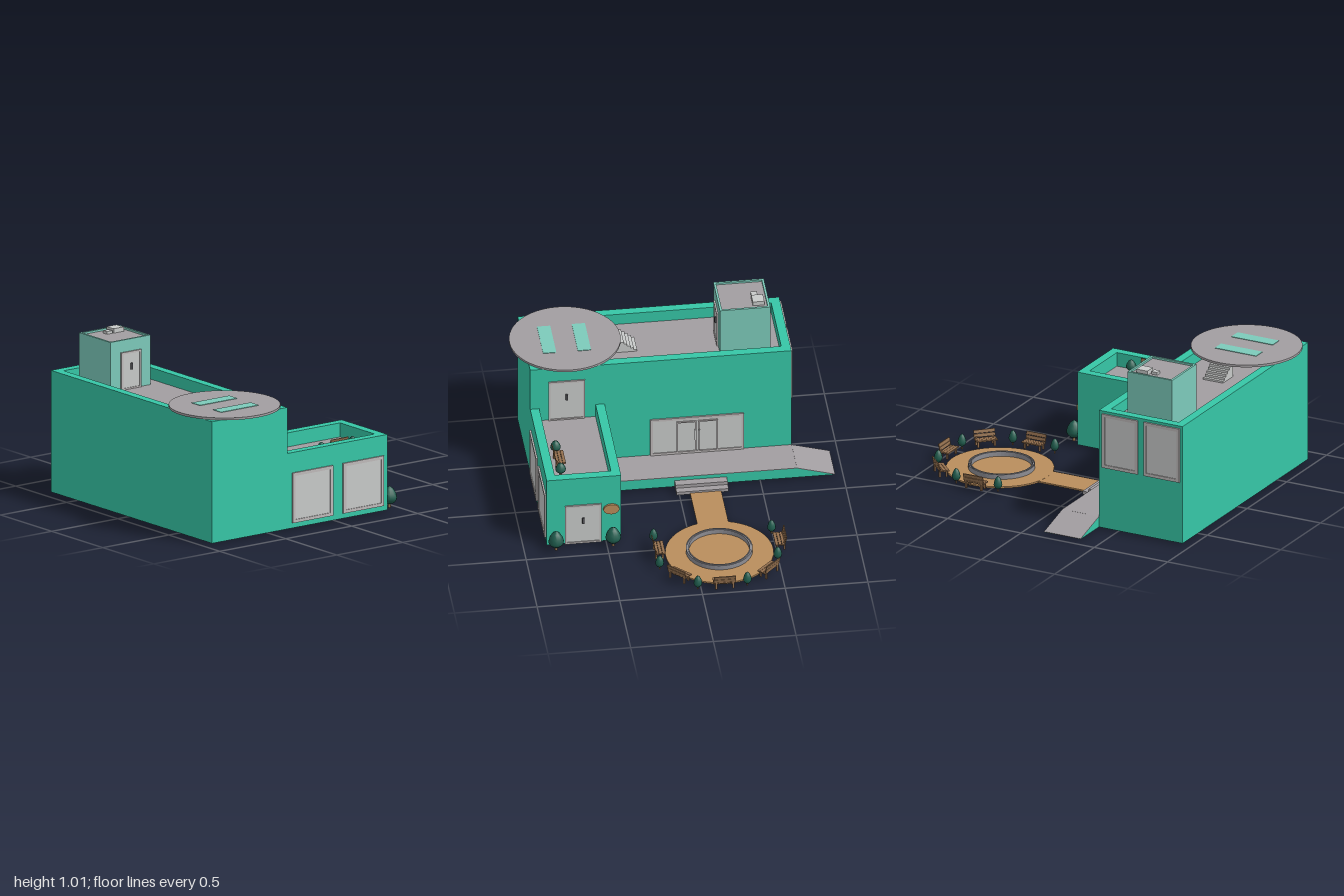
import * as THREE from 'three';

const mat = (name, color, extra = {}) => {
  const m = new THREE.MeshStandardMaterial({ color, ...extra });
  m.name = name;
  return m;
};

export function createModel() {
  const teal = mat('teal wall', 0x36c6a6);
  const paleTeal = mat('pale teal', 0x7ccaba);
  const paving = mat('grey paving', 0xa29ea1);
  const pane = mat('light grey panel', 0xc8cac9);
  const trim = mat('grey trim', 0xbfbaba);
  const stone = mat('fountain stone', 0x8d8d93);
  const tan = mat('tan ground', 0xb98d5c);
  const wood = mat('bench wood', 0x94704f);
  const leaf = mat('dark foliage', 0x1f5c4d);
  const dark = mat('dark metal', 0x55555a);

  const model = new THREE.Group();
  const add = (name, geo, m, parent = model) => {
    const mesh = new THREE.Mesh(geo, m);
    mesh.name = name;
    parent.add(mesh);
    return mesh;
  };
  // Box given by its limits on each axis
  const box = (name, m, x0, x1, y0, y1, z0, z1, parent = model) => {
    const b = add(name, new THREE.BoxGeometry(x1 - x0, y1 - y0, z1 - z0), m, parent);
    b.position.set((x0 + x1) / 2, (y0 + y1) / 2, (z0 + z1) / 2);
    return b;
  };
  const group = (name, x, y, z, rotY = 0, parent = model) => {
    const g = new THREE.Group();
    g.name = name;
    g.position.set(x, y, z);
    g.rotation.y = rotY;
    parent.add(g);
    return g;
  };
  const rect = (C, x0, x1, y0, y1) => {
    const s = new C();
    s.moveTo(x0, y0); s.lineTo(x1, y0); s.lineTo(x1, y1); s.lineTo(x0, y1); s.closePath();
    return s;
  };
  const frameGeo = (w, h, t, depth) => {
    const s = rect(THREE.Shape, -w / 2, w / 2, -h / 2, h / 2);
    s.holes.push(rect(THREE.Path, -w / 2 + t, w / 2 - t, -h / 2 + t, h / 2 - t));
    return new THREE.ExtrudeGeometry(s, { depth, bevelEnabled: false });
  };
  // Rectangular rim standing on a roof
  const rim = (name, m, x0, x1, y0, y1, z0, z1, t) => {
    const r = add(name, frameGeo(x1 - x0, z1 - z0, t, y1 - y0), m);
    r.rotation.x = -Math.PI / 2;
    r.position.set((x0 + x1) / 2, y0, (z0 + z1) / 2);
  };

  // Main block with recessed roof
  const roofY = 0.69;
  box('mainBlock', teal, -0.95, -0.38, 0.013, roofY, -0.72, 0.86);
  rim('mainParapet', teal, -0.95, -0.38, roofY, 0.765, -0.72, 0.86, 0.055);
  box('mainRoofFloor', paving, -0.895, -0.435, roofY, roofY + 0.003, -0.665, 0.805);

  // Lower front wing with terrace
  const terraceY = 0.39;
  box('frontWing', teal, -0.38, 0.38, 0.013, terraceY, 0.41, 0.86);
  box('terraceFloor', paving, -0.38, 0.325, terraceY, terraceY + 0.003, 0.465, 0.805);
  box('terraceFrontParapet', teal, -0.38, 0.38, terraceY, 0.48, 0.805, 0.86);
  box('terraceBackParapet', teal, -0.38, 0.38, terraceY, 0.48, 0.41, 0.465);
  box('terraceSideParapet', teal, 0.325, 0.38, terraceY, 0.48, 0.465, 0.805);

  // Rooftop hut
  box('roofHut', paleTeal, -0.82, -0.515, roofY, 0.985, -0.61, -0.305);
  rim('hutParapet', paleTeal, -0.82, -0.515, 0.985, 1.0, -0.61, -0.305, 0.014);
  box('hutRoofFloor', paving, -0.806, -0.529, 0.985, 0.988, -0.596, -0.319);
  box('largeVent', pane, -0.635, -0.56, 0.988, 1.015, -0.58, -0.51);
  box('smallVent', pane, -0.685, -0.645, 0.988, 1.005, -0.55, -0.512);

  // Landing pad with painted bars
  const pad = add('landingPad', new THREE.CylinderGeometry(0.335, 0.335, 0.014, 48), paving);
  pad.position.set(-0.665, 0.773, 0.613);
  for (const z of [0.513, 0.723]) box('padBar', paleTeal, -0.805, -0.522, 0.78, 0.783, z - 0.04, z + 0.04);
  // Steps from the roof up to the pad
  for (let i = 0; i < 5; i++) {
    box('padStep', pane, -0.735, -0.6, roofY, roofY + 0.015 * (i + 1), 0.185 + i * 0.02, 0.31);
  }

  // Raised walkway and ramp: teal sides, paved top
  box('walkway', teal, -0.38, -0.13, 0.013, 0.078, -0.72, 0.41);
  box('walkwayPaving', paving, -0.38, -0.13, 0.078, 0.081, -0.72, 0.41);
  const wedge = new THREE.Shape();
  wedge.moveTo(0.72, 0.013); wedge.lineTo(0.95, 0.013); wedge.lineTo(0.72, 0.078); wedge.closePath();
  const ramp = add('ramp', new THREE.ExtrudeGeometry(wedge, { depth: 0.25, bevelEnabled: false }), teal);
  ramp.rotation.y = Math.PI / 2;
  ramp.position.x = -0.38;
  const slope = Math.atan2(0.065, 0.23);
  const top = add('rampPaving', new THREE.BoxGeometry(0.25, 0.003, 0.239), paving);
  top.position.set(-0.255, 0.047, -0.835);
  top.rotation.x = -slope;
  box('upperStep', paving, -0.13, -0.08, 0.013, 0.056, -0.295, 0.02);
  box('lowerStep', paving, -0.08, -0.037, 0.013, 0.034, -0.295, 0.02);

  // Windows and doors, built facing +z then turned
  const opening = (name, w, h, x, y, z, rotY, t = 0.02) => {
    const g = group(name, x, y + h / 2, z, rotY);
    add('frame', frameGeo(w, h, t, 0.01), trim, g);
    box('panel', pane, -w / 2 + t, w / 2 - t, -h / 2 + t, h / 2 - t, 0, 0.005, g);
    return g;
  };
  const door = (name, w, h, x, y, z, rotY) => {
    const g = opening(name, w, h, x, y, z, rotY, 0.012);
    box('handle', dark, -0.006, 0.006, 0.005, 0.045, 0.005, 0.014, g);
  };
  for (const x of [-0.192, 0.192]) opening('frontWindow', 0.305, 0.31, x, 0.045, 0.86, 0);
  for (const x of [-0.81, -0.525]) opening('backWindow', 0.245, 0.345, x, 0.403, -0.72, Math.PI);
  door('wingDoor', 0.22, 0.275, 0.38, 0.013, 0.64, Math.PI / 2);
  door('terraceDoor', 0.22, 0.28, -0.38, terraceY, 0.64, Math.PI / 2);
  door('hutDoor', 0.15, 0.235, -0.667, roofY, -0.305, 0);
  const entrance = opening('entrance', 0.565, 0.26, -0.38, 0.081, -0.148, Math.PI / 2, 0.015);
  for (const s of [-1, 1]) {
    const leafDoor = add('entranceDoor', frameGeo(0.12, 0.225, 0.008, 0.009), trim, entrance);
    leafDoor.position.set(s * 0.065, -0.01, 0.004);
    box('entranceHandle', pane, s * 0.012 - 0.004, s * 0.012 + 0.004, -0.03, 0.04, 0.005, 0.018, entrance);
  }

  // Oval wall plaque
  const plaque = add('wallPlaque', new THREE.CylinderGeometry(0.035, 0.035, 0.014, 12), tan);
  plaque.rotation.z = -Math.PI / 2;
  plaque.scale.z = 1.4;
  plaque.position.set(0.386, 0.245, 0.47);

  // Round plaza, path and fountain ring
  const cx = 0.6, cz = -0.155;
  add('plaza', new THREE.CylinderGeometry(0.325, 0.325, 0.01, 48), tan).position.set(cx, 0.017, cz);
  box('path', tan, -0.037, 0.32, 0.012, 0.0215, -0.25, -0.062);
  add('fountainBase', new THREE.CylinderGeometry(0.2, 0.2, 0.012, 48), stone).position.set(cx - 0.01, 0.006, cz);
  const ring = [[0.182, 0.012], [0.2, 0.012], [0.2, 0.052], [0.194, 0.052], [0.194, 0.047],
    [0.188, 0.047], [0.188, 0.052], [0.182, 0.052], [0.182, 0.012]];
  const ringGeo = new THREE.LatheGeometry(ring.map(p => new THREE.Vector2(...p)), 48).toNonIndexed();
  ringGeo.computeVertexNormals();
  add('fountainRing', ringGeo, stone).position.set(cx - 0.01, 0, cz);

  // Benches, backrest on the local -z side
  const bench = (x, y, z, rotY) => {
    const g = group('bench', x, y, z, rotY);
    for (const sz of [-0.014, 0.006, 0.026]) box('seatSlat', wood, -0.067, 0.067, 0.038, 0.046, sz - 0.009, sz + 0.009, g);
    for (const [by, bz] of [[0.06, -0.025], [0.083, -0.03]]) {
      const b = box('backSlat', wood, -0.067, 0.067, by - 0.0105, by + 0.0105, bz - 0.003, bz + 0.003, g);
      b.rotation.x = -0.2;
    }
    for (const lx of [-0.052, 0.052]) {
      box('frontLeg', wood, lx - 0.006, lx + 0.006, 0, 0.038, 0.016, 0.026, g);
      box('backLeg', wood, lx - 0.006, lx + 0.006, 0, 0.055, -0.026, -0.016, g);
    }
  };
  const q = Math.PI / 4;
  [[0.567, -0.525, 0], [0.862, -0.42, -q], [0.962, -0.137, -2 * q], [0.848, 0.12, -3 * q], [0.567, 0.21, 4 * q]]
    .forEach(([x, z, r]) => bench(x, 0.02, z, r));
  bench(0.078, terraceY + 0.003, 0.748, Math.PI);

  // Egg-shaped trees
  const egg = [[0, 0], [0.55, 0.06], [0.92, 0.22], [1, 0.36], [0.85, 0.6], [0.5, 0.85], [0, 1]];
  const tree = (x, y, z, r, h) => {
    const g = group('tree', x, y, z);
    const trunk = h * 0.2;
    add('trunk', new THREE.CylinderGeometry(r * 0.16, r * 0.2, trunk, 8), wood, g).position.y = trunk / 2;
    const pts = egg.map(([a, b]) => new THREE.Vector2(a * r, trunk * 0.8 + b * (h - trunk * 0.8)));
    add('foliage', new THREE.LatheGeometry(pts, 12), leaf, g);
  };
  [[0.432, -0.492], [0.717, -0.492], [0.956, -0.277], [0.956, 0.022], [0.717, 0.222], [0.432, 0.222]]
    .forEach(([x, z]) => tree(x, 0.013, z, 0.026, 0.098));
  for (const x of [-0.038, 0.198]) tree(x, terraceY + 0.003, 0.752, 0.032, 0.085);
  for (const z of [0.465, 0.81]) tree(0.432, 0.01, z, 0.047, 0.135);

  return model;
}
